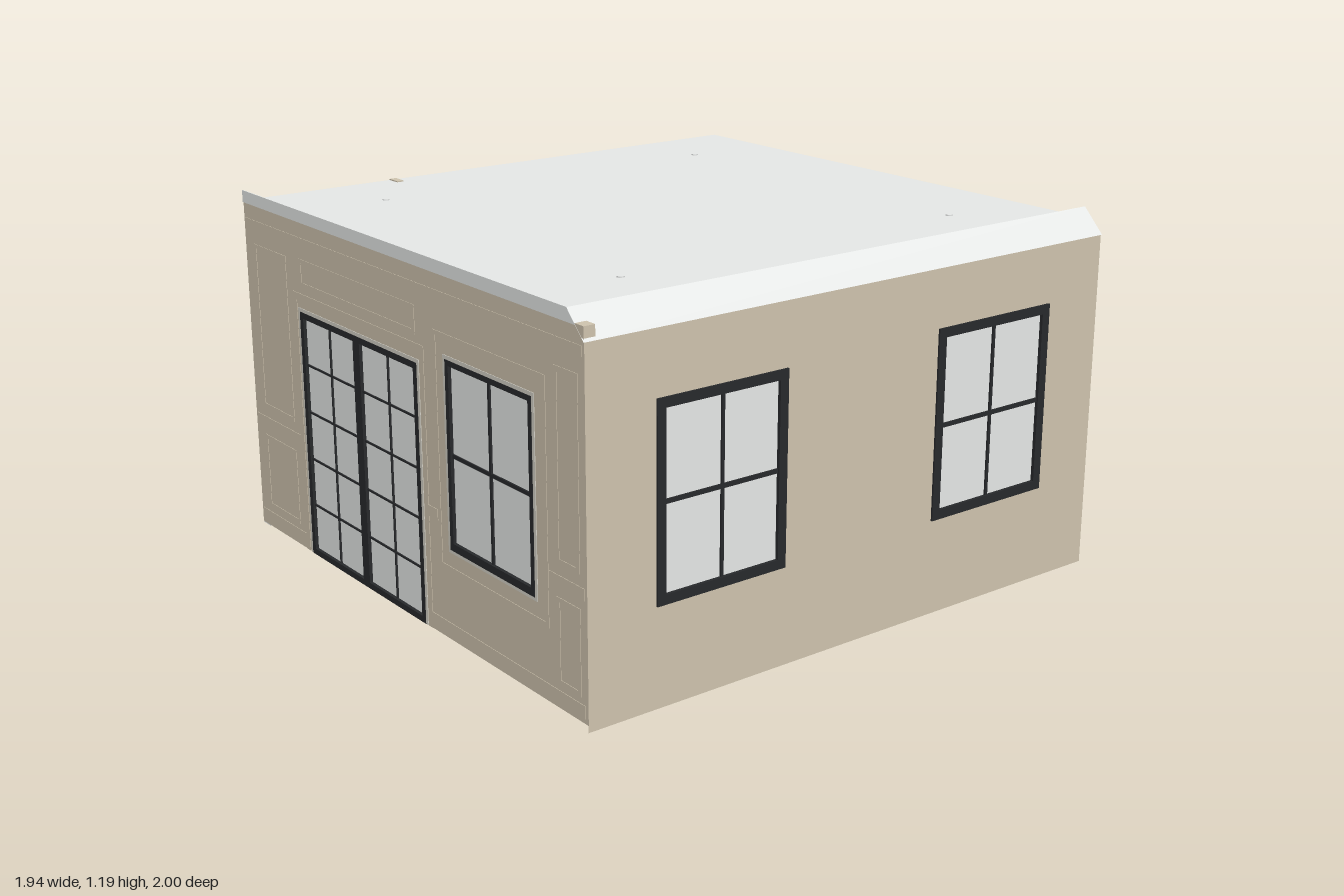
import * as THREE from 'three';

const mat = (name, color, side = THREE.FrontSide) => {
  const m = new THREE.MeshStandardMaterial({ color, side });
  m.name = name;
  return m;
};

export function createModel() {
  const wallTan = mat('wall tan', 0xcdc2ad, THREE.DoubleSide);
  const paleGrey = mat('pale grey', 0xe4e6e5);
  const frameBlack = mat('frame black', 0x27292b);
  const trimGrey = mat('trim grey', 0xd2cfc5);
  const woodBrown = mat('wood brown', 0x7a6f60);

  const model = new THREE.Group();
  model.name = 'room';

  // Box given by its limits
  function box(parent, name, material, x0, x1, y0, y1, z0, z1) {
    const m = new THREE.Mesh(new THREE.BoxGeometry(x1 - x0, y1 - y0, z1 - z0), material);
    m.position.set((x0 + x1) / 2, (y0 + y1) / 2, (z0 + z1) / 2);
    m.name = name;
    parent.add(m);
    return m;
  }

  // Rectangular border in the local XY plane
  function border(parent, name, material, x0, x1, y0, y1, t, z0, z1, bottom = t) {
    const g = new THREE.Group();
    g.name = name;
    box(g, name + 'Left', material, x0, x0 + t, y0, y1, z0, z1);
    box(g, name + 'Right', material, x1 - t, x1, y0, y1, z0, z1);
    box(g, name + 'Top', material, x0 + t, x1 - t, y1 - t, y1, z0, z1);
    box(g, name + 'Bottom', material, x0 + t, x1 - t, y0, y0 + bottom, z0, z1);
    parent.add(g);
  }

  // Thin wall facing local +z, with rectangular holes
  function wall(parent, name, x0, x1, y0, y1, holes) {
    const s = new THREE.Shape();
    s.moveTo(x0, y0).lineTo(x1, y0).lineTo(x1, y1).lineTo(x0, y1).closePath();
    for (const [a, b, c, d] of holes) {
      const h = new THREE.Path();
      h.moveTo(a, c).lineTo(a, d).lineTo(b, d).lineTo(b, c).closePath();
      s.holes.push(h);
    }
    const m = new THREE.Mesh(new THREE.ShapeGeometry(s), wallTan);
    m.name = name;
    parent.add(m);
  }

  // Framed glass with glazing bars
  function glazing(parent, name, x0, x1, y0, y1, t, zFront, bars, bottom = t) {
    const g = new THREE.Group();
    g.name = name;
    box(g, 'glass', paleGrey, x0 + 0.005, x1 - 0.005, y0 + 0.005, y1 - 0.005, zFront - 0.016, zFront - 0.011);
    border(g, 'frame', frameBlack, x0, x1, y0, y1, t, zFront - 0.03, zFront, bottom);
    for (const [x, w] of bars.x)
      box(g, 'uprightBar', frameBlack, x - w / 2, x + w / 2, y0 + bottom, y1 - t, zFront - 0.02, zFront - 0.005);
    for (const [y, w] of bars.y)
      box(g, 'crossBar', frameBlack, x0 + t, x1 - t, y - w / 2, y + w / 2, zFront - 0.02, zFront - 0.006);
    parent.add(g);
  }

  // Skirting, chair rail and crown along a wall, between x limits
  const railHeights = [[0.03, 0.08], [0.39, 0.425], [1.07, 1.1]];
  function rails(parent, spans, z1) {
    railHeights.forEach(([y0, y1], i) => {
      for (const [a, b] of spans[i]) box(parent, 'wallRail', wallTan, a, b, y0, y1, -0.014, z1);
    });
  }

  // Front wall with glazed double door and window
  const front = new THREE.Group();
  front.name = 'frontWall';
  front.position.z = 0.996;
  model.add(front);
  wall(front, 'frontWallPanel', -0.97, 0.962, 0.026, 1.15,
    [[-0.605, 0.115, 0.0262, 0.855], [0.275, 0.715, 0.32, 0.905]]);
  const rows = [0.2, 0.36, 0.52, 0.68].map((y) => [y, 0.006]);
  glazing(front, 'leftDoor', -0.605, -0.245, 0.026, 0.855, 0.02, 0.003, { x: [[-0.425, 0.005]], y: rows });
  glazing(front, 'rightDoor', -0.245, 0.115, 0.026, 0.855, 0.02, 0.003, { x: [[-0.065, 0.005]], y: rows });
  glazing(front, 'frontWindow', 0.275, 0.715, 0.32, 0.905, 0.017, 0.003,
    { x: [[0.495, 0.01]], y: [[0.615, 0.012]] }, 0.024);
  border(front, 'windowTrim', trimGrey, 0.263, 0.727, 0.31, 0.917, 0.012, -0.02, 0.002);
  for (const x of [-0.617, 0.115]) box(front, 'doorTrim', trimGrey, x, x + 0.012, 0.026, 0.855, -0.02, 0.002);
  box(front, 'doorTrimTop', trimGrey, -0.617, 0.127, 0.855, 0.867, -0.02, 0.002);

  // Panelling and rails of the front wall
  const panels = [[-0.91, -0.69, 0.1, 0.36], [-0.91, -0.69, 0.46, 1.02], [0.82, 0.93, 0.1, 0.36],
    [0.82, 0.93, 0.46, 1.02], [0.21, 0.78, 0.25, 0.98], [-0.6, 0.11, 0.94, 1.03]];
  for (const [a, b, c, d] of panels) border(front, 'wallPanel', wallTan, a, b, c, d, 0.014, -0.01, 0.0015);
  const frontSpans = [[-0.965, -0.65], [0.155, 0.95]];
  rails(front, [frontSpans, [[-0.965, -0.65], [0.155, 0.205], [0.785, 0.95]], [[-0.965, 0.95]]], 0.0015);
  for (const x of [-0.65, 0.13]) box(front, 'doorCasing', wallTan, x, x + 0.025, 0.026, 0.89, -0.014, 0.0015);
  box(front, 'doorCasingTop', wallTan, -0.65, 0.155, 0.89, 0.915, -0.014, 0.0015);

  // Upstand above the front wall, cut to the roof slope
  const upstand = new THREE.Shape();
  upstand.moveTo(-0.97, 1.15).lineTo(0.927, 1.15).lineTo(0.89, 1.19).lineTo(-0.97, 1.19).closePath();
  const upstandMesh = new THREE.Mesh(
    new THREE.ExtrudeGeometry(upstand, { depth: 0.004, bevelEnabled: false }), paleGrey);
  upstandMesh.name = 'frontUpstand';
  upstandMesh.position.z = -0.001;
  front.add(upstandMesh);

  // Right wall with two windows
  const right = new THREE.Group();
  right.name = 'rightWall';
  right.rotation.y = Math.PI / 2;
  right.position.x = 0.961;
  model.add(right);
  const sideWindows = [[-0.763, -0.3, 0.315, 0.915], [0.293, 0.773, 0.315, 0.925]];
  wall(right, 'rightWallPanel', -0.996, 1, 0.004, 1.115, sideWindows);
  for (const [a, b, c, d] of sideWindows) {
    glazing(right, 'sideWindow', a, b, c, d, 0.03, 0.006,
      { x: [[(a + b) / 2, 0.01]], y: [[0.615, 0.014]] });
    border(right, 'innerCasing', wallTan, a - 0.04, b + 0.04, c - 0.04, d + 0.04, 0.04, -0.014, -0.002);
  }
  const full = [[-0.98, 0.98]];
  rails(right, [full, [[-0.98, -0.81], [-0.25, 0.245], [0.82, 0.98]], full], -0.002);
  box(model, 'crownReturn', wallTan, 0.925, 0.964, 1.122, 1.155, 0.962, 0.999);

  // Back wall with panelled door
  const back = new THREE.Group();
  back.name = 'backWall';
  back.rotation.y = Math.PI;
  back.position.z = -0.994;
  model.add(back);
  wall(back, 'backWallPanel', -0.925, 0.97, 0.026, 1.153, []);
  rails(back, [[[-0.92, 0.55]], [[-0.92, 0.55]], [[-0.92, 0.95]]], -0.001);
  border(back, 'doorCasing', wallTan, 0.56, 0.905, 0.026, 1.0, 0.03, -0.012, 0.003, 0.004);
  box(back, 'doorLeaf', wallTan, 0.592, 0.873, 0.03, 0.968, -0.008, 0.001);
  border(back, 'lowerDoorPanel', wallTan, 0.63, 0.835, 0.1, 0.6, 0.01, 0.001, 0.003);
  border(back, 'upperDoorPanel', wallTan, 0.63, 0.835, 0.67, 0.92, 0.01, 0.001, 0.003);
  const knob = new THREE.Mesh(new THREE.SphereGeometry(0.012, 12, 8), frameBlack);
  knob.name = 'doorKnob';
  knob.position.set(0.607, 0.4, 0.001);
  knob.scale.z = 0.4;
  back.add(knob);

  // Left side: open bay, recessed panels, pale sill and deep posts
  box(model, 'leftPanel', wallTan, -0.92, -0.915, 0.03, 1.15, -0.4, 0.99);
  box(model, 'leftSill', paleGrey, -0.969, -0.92, 0.022, 0.033, -0.4, 0.995);
  for (const [a, b, top] of [[-0.992, -0.95, 1.15], [-0.44, -0.395, 1.15], [0.42, 0.445, 1.159],
    [0.88, 0.91, 1.15], [0.965, 0.994, 1.15]])
    box(model, 'leftPost', wallTan, -0.969, -0.918, 0.026, top, a, b);
  box(model, 'outletPlate', trimGrey, -0.924, -0.919, 0.09, 0.12, 0.02, 0.05);

  // Flat roof with a sloped sheet standing along its right edge
  box(model, 'roof', paleGrey, -0.97, 0.924, 1.15, 1.155, -1, 0.995);
  const slope = new THREE.Mesh(new THREE.PlaneGeometry(2, 0.109), paleGrey);
  slope.name = 'roofSlope';
  slope.geometry.rotateX(-Math.atan2(0.076, 0.078)).rotateY(Math.PI / 2);
  slope.position.set(0.928, 1.151, 0);
  model.add(slope);

  // Recessed ceiling lights
  for (const x of [-0.69, 0.61]) for (const z of [-0.68, 0.62]) {
    const lamp = new THREE.Mesh(new THREE.CylinderGeometry(0.012, 0.012, 0.016, 16), paleGrey);
    lamp.name = 'ceilingLight';
    lamp.position.set(x, 1.151, z);
    model.add(lamp);
  }

  // Floor and rug
  box(model, 'floor', wallTan, -0.92, 0.958, 0.024, 0.03, -0.993, 0.993);
  box(model, 'bayFloor', wallTan, -0.968, -0.92, 0.024, 0.03, -0.993, -0.4);
  box(model, 'rug', wallTan, -0.22, 0.83, 0.021, 0.034, -0.45, 0.6);

  // Bed and low bench
  const bed = new THREE.Group();
  bed.name = 'bed';
  model.add(bed);
  for (const x of [0.137, 0.893]) for (const z of [-0.28, 0.43])
    box(bed, 'bedLeg', wallTan, x - 0.018, x + 0.018, 0, 0.12, z - 0.018, z + 0.018);
  box(bed, 'bedBase', wallTan, 0.12, 0.91, 0.1, 0.16, -0.3, 0.45);
  box(bed, 'mattress', paleGrey, 0.13, 0.89, 0.16, 0.24, -0.28, 0.43);
  box(bed, 'headboard', wallTan, 0.89, 0.92, 0.1, 0.42, -0.3, 0.45);
  for (const z of [-0.25, 0.1]) box(bed, 'pillow', trimGrey, 0.7, 0.87, 0.24, 0.28, z, z + 0.3);
  box(model, 'bench', woodBrown, -0.16, -0.04, 0.034, 0.13, 0.2, 0.34);

  return model;
}
